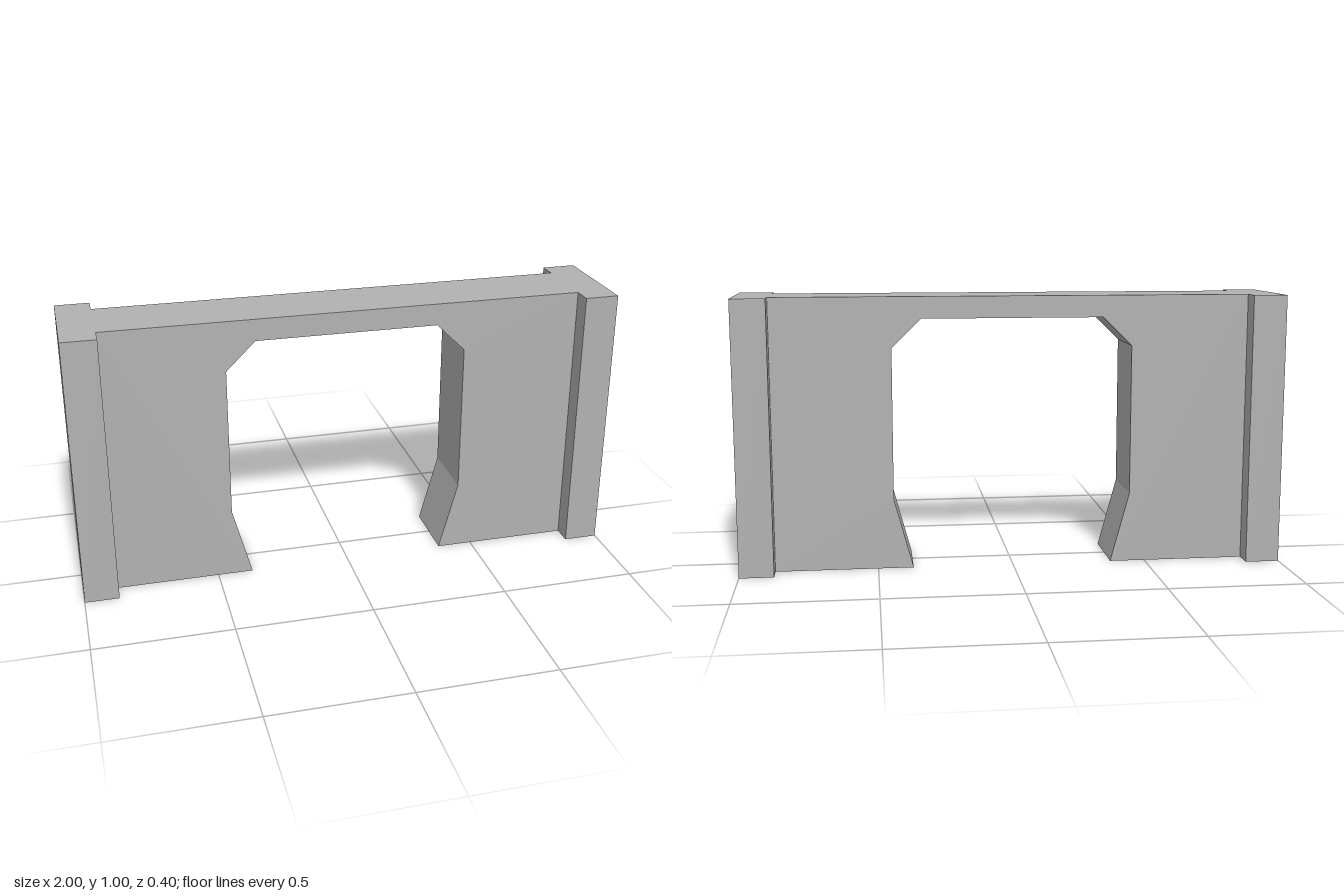
import * as THREE from 'three';

export function createModel() {
  const model = new THREE.Group();
  model.name = 'archWall';
  const stone = new THREE.MeshStandardMaterial({ color: 0xb2b2b2 });
  stone.name = 'grey stone';

  const WALL_X = 0.875, WALL_DEPTH = 0.25, PIER_DEPTH = 0.395;

  // Wall outline with a chamfered doorway that narrows at the floor
  const half = [[0.37, 0], [0.44, 0.26], [0.44, 0.815], [0.333, 0.92]];
  const opening = [
    ...half.map(([x, y]) => [-x, y]),
    ...half.slice().reverse(),
  ];
  const outline = [[-WALL_X, 0], ...opening, [WALL_X, 0], [WALL_X, 1], [-WALL_X, 1]];
  const shape = new THREE.Shape(outline.map(([x, y]) => new THREE.Vector2(x, y)));
  const wallGeometry = new THREE.ExtrudeGeometry(shape, { depth: WALL_DEPTH, bevelEnabled: false });
  wallGeometry.translate(0, 0, -WALL_DEPTH / 2);
  const wall = new THREE.Mesh(wallGeometry, stone);
  wall.name = 'wallWithDoorway';
  model.add(wall);

  // Thicker piers closing both ends
  const pierWidth = 1 - WALL_X;
  const pierGeometry = new THREE.BoxGeometry(pierWidth, 1, PIER_DEPTH);
  for (const side of [1, -1]) {
    const pier = new THREE.Mesh(pierGeometry, stone);
    pier.name = side > 0 ? 'leftPier' : 'rightPier';
    pier.position.set(side * (1 - pierWidth / 2), 0.5, 0);
    model.add(pier);
  }
  return model;
}
